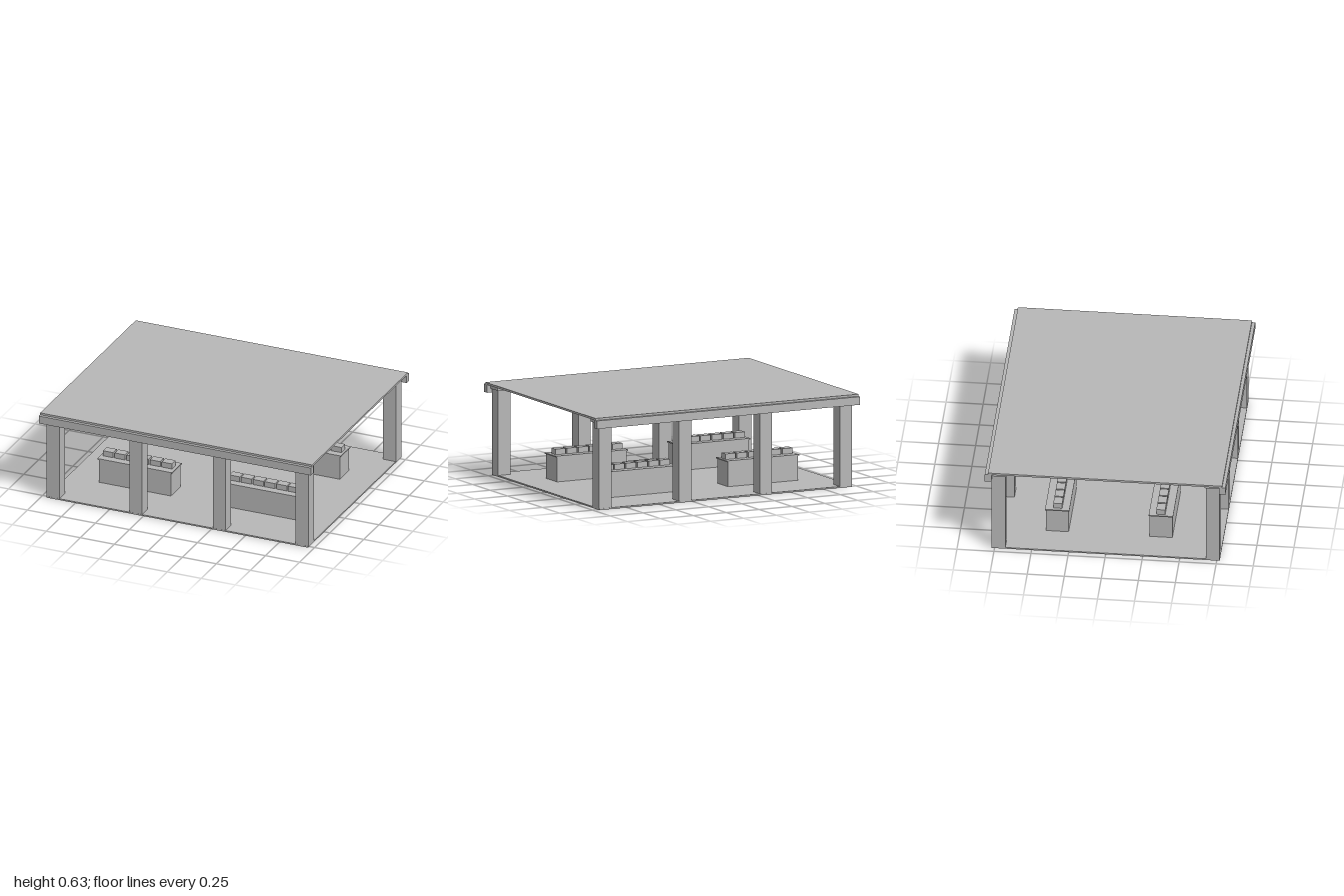
import * as THREE from 'three';

export function createModel() {
  const model = new THREE.Group();
  model.name = 'marketPavilion';
  const stone = new THREE.MeshStandardMaterial({ color: 0xb8b8b8 });
  stone.name = 'plain grey';

  // Box given by its lower and upper limits on each axis
  const box = (name, [x0, x1], [y0, y1], [z0, z1], parent = model) => {
    const mesh = new THREE.Mesh(new THREE.BoxGeometry(x1 - x0, y1 - y0, z1 - z0), stone);
    mesh.position.set((x0 + x1) / 2, (y0 + y1) / 2, (z0 + z1) / 2);
    mesh.name = name;
    parent.add(mesh);
  };

  // Floor and flat roof
  box('floor', [-0.96, 0.96], [0, 0.01], [-0.77, 0.77]);
  box('roof', [-1, 1], [0.618, 0.632], [-0.79, 0.79]);

  // Columns with caps and an edge beam, the back side being the front turned round
  for (const turn of [0, Math.PI]) {
    const side = new THREE.Group();
    side.name = turn ? 'backSide' : 'frontSide';
    side.rotation.y = turn;
    model.add(side);

    box('edgeBeam', [-1, 1], [0.563, 0.618], [0.768, 0.812], side);
    for (const x of [-0.915, -0.307, 0.307, 0.915]) {
      box('column', [x - 0.047, x + 0.047], [0.002, 0.592], [0.677, 0.769], side);
      box('columnCap', [x - 0.058, x + 0.058], [0.59, 0.618], [0.668, 0.78], side);
    }

    // Two counters, each with a row of six goods boxes
    for (const x of [-0.465, 0.465]) {
      const counter = new THREE.Group();
      counter.name = 'counter';
      counter.position.set(x, 0, 0.35);
      side.add(counter);
      box('counterBase', [-0.265, 0.265], [0.008, 0.18], [-0.077, 0.077], counter);
      box('counterTop', [-0.274, 0.274], [0.179, 0.187], [-0.082, 0.082], counter);
      for (let i = 0; i < 6; i++) {
        const c = (i - 2.5) * 0.0865 - 0.003;
        box('goodsBox', [c - 0.038, c + 0.038], [0.187, 0.225], [-0.032, 0.028], counter);
      }
    }
  }
  return model;
}
